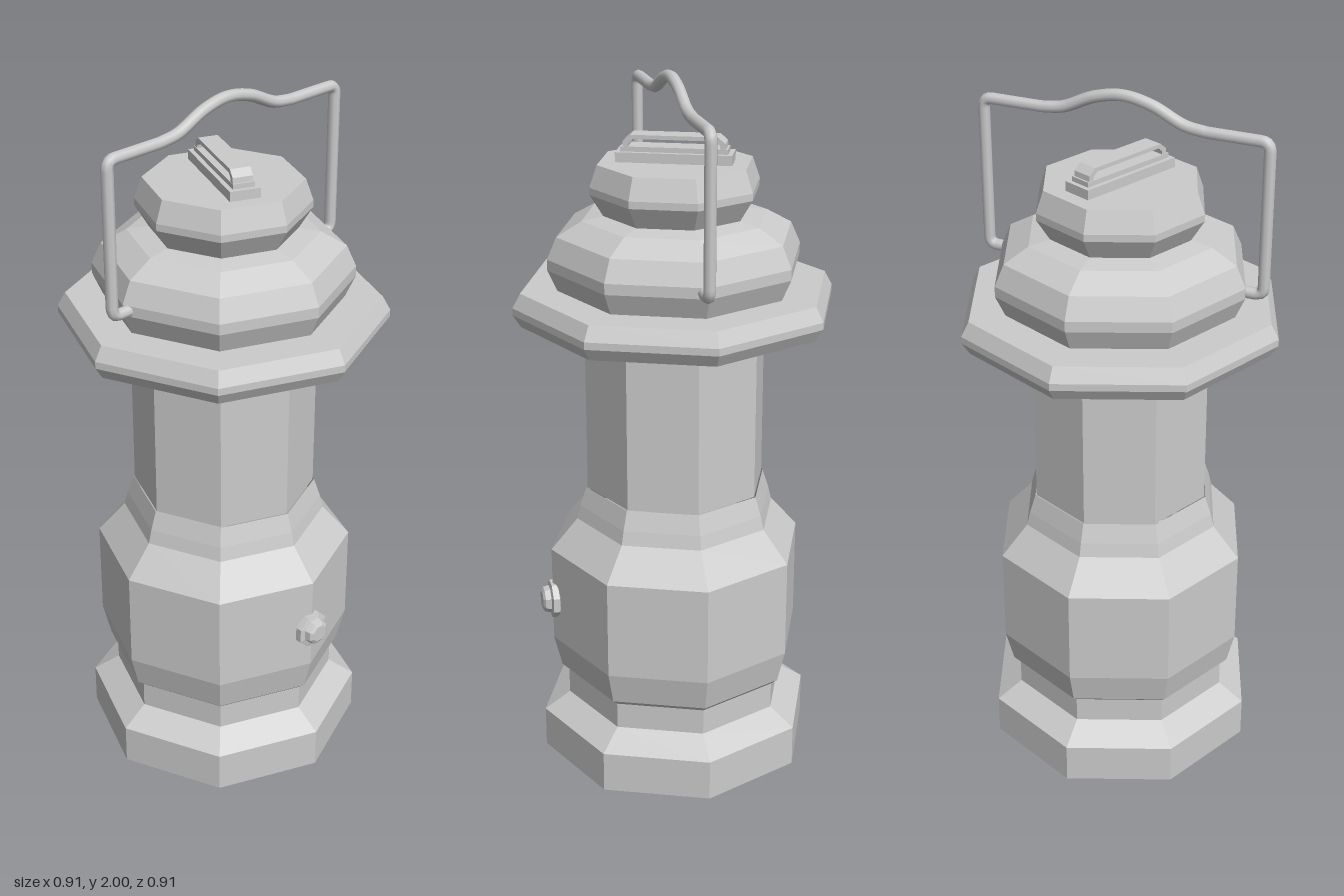
import * as THREE from 'three';

const flat = new THREE.MeshStandardMaterial({ color: 0xcccccc, flatShading: true, side: THREE.DoubleSide });
const smooth = new THREE.MeshStandardMaterial({ color: 0xcccccc });

function add(parent, name, geometry, material = flat) {
  const mesh = new THREE.Mesh(geometry, material);
  mesh.name = name;
  parent.add(mesh);
  return mesh;
}

// Octagonal turned part from [radius, height] pairs
function turned(profile) {
  return new THREE.LatheGeometry(profile.map(([r, y]) => new THREE.Vector2(r, y)), 8);
}

// Right half of the carrying wire, mirrored by sign s
function wirePoints(s) {
  return [[0.34, 1.495], [0.402, 1.495], [0.402, 1.92], [0.23, 1.92]]
    .map(([x, y]) => new THREE.Vector3(s * x, y, 0.012));
}

function wireCurve() {
  const path = new THREE.CurvePath();
  const line = (a, b) => path.add(new THREE.LineCurve3(a, b));
  const bend = 0.025;
  // Straight runs joined by small rounded corners
  function run(pts) {
    let from = pts[0];
    for (let i = 1; i < pts.length - 1; i++) {
      const before = pts[i].clone().add(pts[i - 1].clone().sub(pts[i]).setLength(bend));
      const after = pts[i].clone().add(pts[i + 1].clone().sub(pts[i]).setLength(bend));
      line(from, before);
      path.add(new THREE.QuadraticBezierCurve3(before, pts[i], after));
      from = after;
    }
    line(from, pts[pts.length - 1]);
  }
  const left = wirePoints(-1), right = wirePoints(1).reverse();
  run(left);
  // Raised grip in the middle
  const grip = [[-0.23, 1.92], [-0.17, 1.929], [-0.08, 1.969], [0, 1.984], [0.08, 1.969], [0.17, 1.929], [0.23, 1.92]];
  path.add(new THREE.CatmullRomCurve3(grip.map(([x, y]) => new THREE.Vector3(x, y, 0.012))));
  run(right);
  return path;
}

export function createModel() {
  const lantern = new THREE.Group();
  lantern.name = 'lantern';

  // Hollow base and fuel tank, open underneath
  add(lantern, 'base', turned([[0.4, 0], [0.4, 0.12], [0.325, 0.17], [0.325, 0.25]]));
  add(lantern, 'tank', turned([[0.325, 0.247], [0.345, 0.265], [0.368, 0.36], [0.368, 0.645], [0.29, 0.735]]));
  add(lantern, 'collar', turned([[0.29, 0.735], [0.28, 0.775], [0.262, 0.83]]));
  add(lantern, 'column', turned([[0.258, 0.83], [0.258, 1.325]]));

  // Brim and two-tier hood
  add(lantern, 'brim', turned([[0.258, 1.325], [0.433, 1.325], [0.455, 1.36], [0.455, 1.38], [0.433, 1.42], [0.33, 1.42]]));
  add(lantern, 'hood', turned([[0.33, 1.42], [0.357, 1.48], [0.357, 1.51], [0.33, 1.57], [0.26, 1.61], [0.2, 1.62]]));
  add(lantern, 'cap', turned([[0.2, 1.62], [0.237, 1.68], [0.237, 1.7], [0.216, 1.76], [0, 1.76]]));

  // Turning latch on top of the cap
  const latch = new THREE.Group();
  latch.name = 'latch';
  latch.rotation.y = -Math.PI / 8;
  lantern.add(latch);
  add(latch, 'latchPlate', new THREE.BoxGeometry(0.085, 0.028, 0.315)).position.y = 1.773;
  add(latch, 'latchStep', new THREE.BoxGeometry(0.06, 0.015, 0.29)).position.y = 1.793;
  const strap = new THREE.Shape();
  [[-0.14, 1.795], [-0.138, 1.815], [-0.118, 1.832], [0.118, 1.832], [0.138, 1.815], [0.14, 1.795],
    [0.125, 1.795], [0.123, 1.81], [0.11, 1.821], [-0.11, 1.821], [-0.123, 1.81], [-0.125, 1.795]]
    .forEach(([x, y], i) => (i ? strap.lineTo(x, y) : strap.moveTo(x, y)));
  const strapGeometry = new THREE.ExtrudeGeometry(strap, { depth: 0.056, bevelEnabled: false });
  strapGeometry.translate(0, 0, -0.028).rotateY(Math.PI / 2);
  add(latch, 'latchStrap', strapGeometry);
  latch.rotation.y = -Math.PI / 8;

  // Screw knob on the front of the tank
  const knob = turned([[0.035, -0.03], [0.035, -0.014], [0.055, -0.008], [0.055, 0.01], [0.04, 0.014], [0.036, 0.03], [0.026, 0.036], [0, 0.036]]);
  knob.rotateY(Math.PI / 8).rotateX(Math.PI / 2);
  add(lantern, 'knob', knob).position.set(0, 0.487, 0.364);

  // Carrying wire, ends buried in the hood
  add(lantern, 'wireHandle', new THREE.TubeGeometry(wireCurve(), 200, 0.0165, 8, false), smooth);

  return lantern;
}
